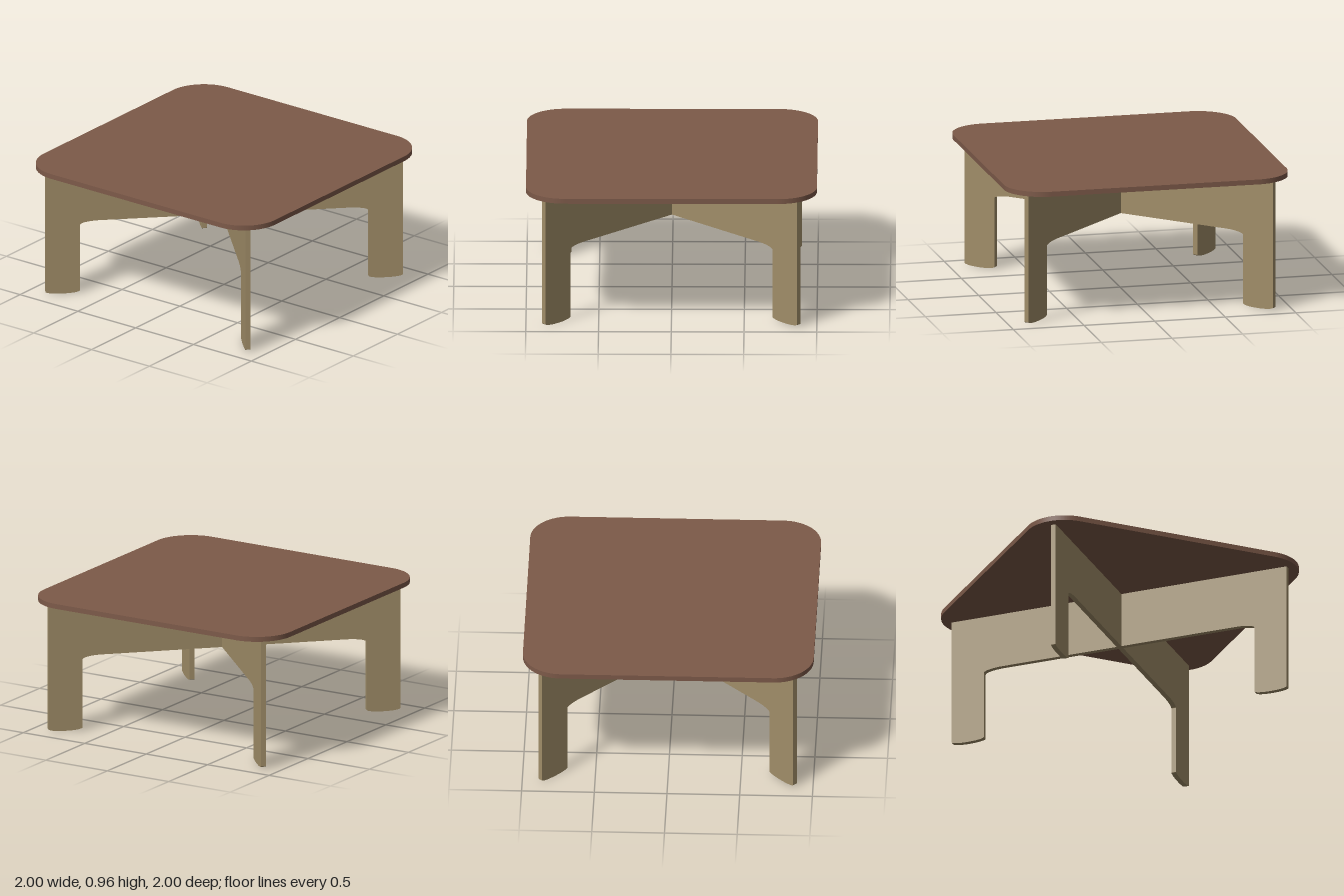
import * as THREE from 'three';

const TOP_Y = 0.96, TOP_T = 0.035, PANEL_T = 0.035;

// Square outline with rounded corners
function roundedSquare(h, r) {
  const s = new THREE.Shape();
  s.moveTo(h, -h + r);
  s.lineTo(h, h - r);
  s.absarc(h - r, h - r, r, 0, Math.PI / 2);
  s.absarc(-h + r, h - r, r, Math.PI / 2, Math.PI);
  s.absarc(-h + r, -h + r, r, Math.PI, Math.PI * 1.5);
  s.absarc(h - r, -h + r, r, Math.PI * 1.5, Math.PI * 2);
  return s;
}

// Bridge-shaped panel: two legs with softened feet joined by a deep rail
function panelShape() {
  const out = 1.24, inn = 1.0, top = TOP_Y - TOP_T, arch = 0.53;
  const rx = 0.11, ry = 0.018, ax = 0.14, ay = 0.027;
  const PI = Math.PI;
  const s = new THREE.Shape();
  s.moveTo(-out, top);
  s.lineTo(-out, ry);
  s.absellipse(-out + rx, ry, rx, ry, PI, PI * 1.5, false);
  s.absellipse(-inn - rx, ry, rx, ry, PI * 1.5, PI * 2, false);
  s.absellipse(-inn + ax, arch - ay, ax, ay, PI, PI / 2, true);
  s.absellipse(inn - ax, arch - ay, ax, ay, PI / 2, 0, true);
  s.absellipse(inn + rx, ry, rx, ry, PI, PI * 1.5, false);
  s.absellipse(out - rx, ry, rx, ry, PI * 1.5, PI * 2, false);
  s.lineTo(out, top);
  s.closePath();
  return s;
}

export function createModel() {
  const group = new THREE.Group();
  const topWood = new THREE.MeshStandardMaterial({ color: 0x7d5a49 });
  const baseWood = new THREE.MeshStandardMaterial({ color: 0xa08d68 });

  // Table top
  const topGeo = new THREE.ExtrudeGeometry(roundedSquare(1, 0.27), {
    depth: TOP_T, bevelEnabled: false, curveSegments: 24,
  });
  topGeo.rotateX(-Math.PI / 2);
  const tableTop = new THREE.Mesh(topGeo, topWood);
  tableTop.name = 'tableTop';
  tableTop.position.y = TOP_Y - TOP_T;
  group.add(tableTop);

  // Two leg panels crossing on the diagonals
  const panelGeo = new THREE.ExtrudeGeometry(panelShape(), {
    depth: PANEL_T, bevelEnabled: false, curveSegments: 16,
  });
  panelGeo.translate(0, 0, -PANEL_T / 2);
  [1, -1].forEach((side, i) => {
    const panel = new THREE.Mesh(panelGeo, baseWood);
    panel.name = `legPanel${i + 1}`;
    panel.rotation.y = side * Math.PI / 4;
    group.add(panel);
  });

  return group;
}
